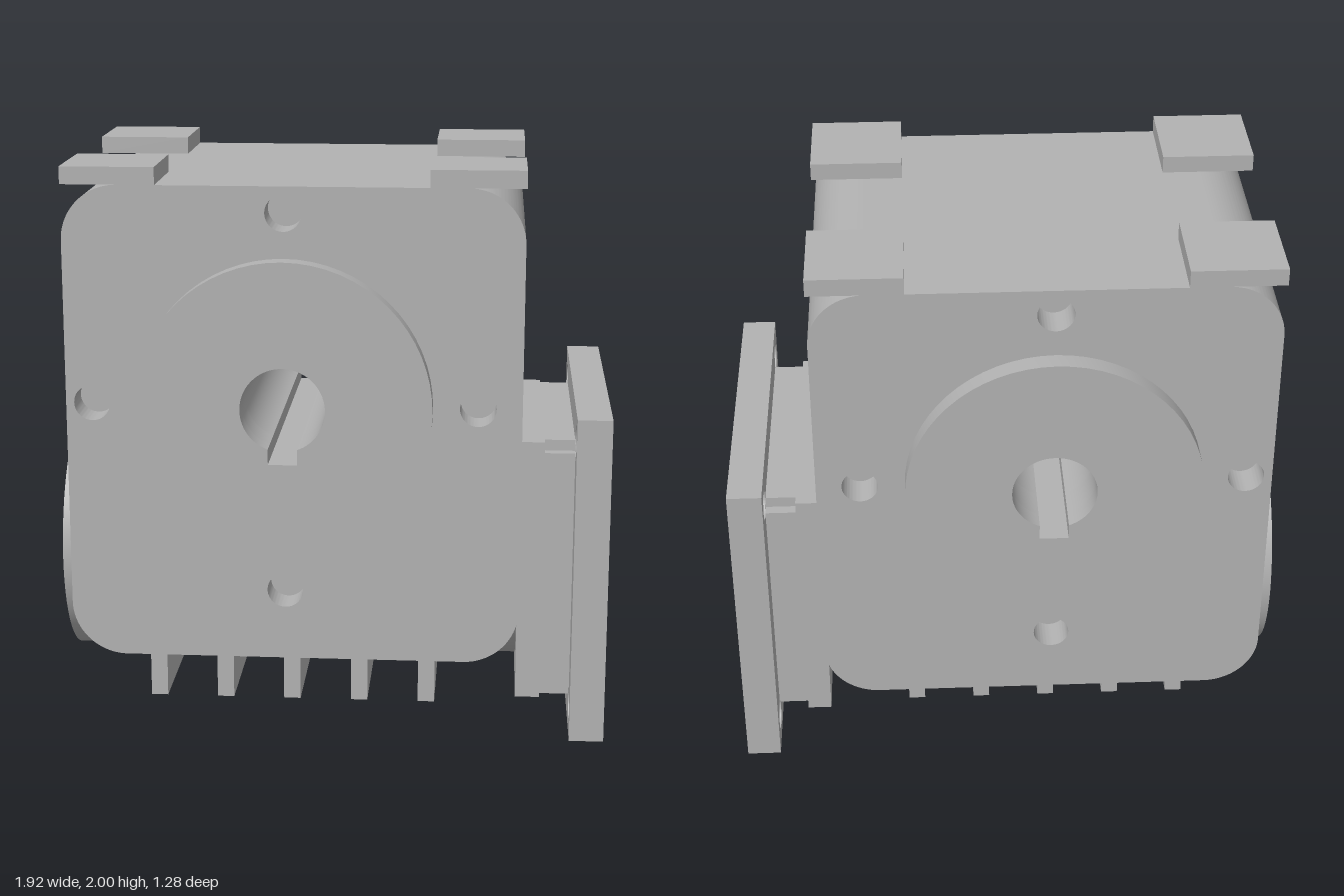
import * as THREE from 'three';
import { toCreasedNormals } from 'three/addons/utils/BufferGeometryUtils.js';

const CX = -0.155, CY = 1.19;              // output bore axis
const BODY = { x0: -0.905, x1: 0.655, y0: 0.28, y1: 1.94, z: 0.57, r: 0.19 };
const POCKET = 0.12;                       // depth of the bolt holes

const circle = (x, y, r, Type = THREE.Path) => new Type().absarc(x, y, r, 0, Math.PI * 2, false);

// round bore with a keyway at the bottom
function boreHole() {
  const r = 0.145, w = 0.05, a = Math.acos(w / r), p = new THREE.Path();
  p.moveTo(CX + w, CY - 0.19);
  p.lineTo(CX + w, CY - Math.sin(a) * r);
  p.absarc(CX, CY, r, -a, Math.PI + a, false);
  p.lineTo(CX - w, CY - 0.19);
  p.closePath();
  return p;
}

function roundedShape({ x0, x1, y0, y1, r }) {
  const s = new THREE.Shape(), h = Math.PI / 2;
  s.absarc(x1 - r, y0 + r, r, -h, 0, false);
  s.absarc(x1 - r, y1 - r, r, 0, h, false);
  s.absarc(x0 + r, y1 - r, r, h, 2 * h, false);
  s.absarc(x0 + r, y0 + r, r, 2 * h, 3 * h, false);
  s.closePath();
  return s;
}

function rectShape(w, y0, y1) {
  return new THREE.Shape([[-w, y0], [w, y0], [w, y1], [-w, y1]].map(p => new THREE.Vector2(...p)));
}

export function createModel() {
  const group = new THREE.Group();
  const metal = new THREE.MeshStandardMaterial({ color: 0xb2b2b2 });
  metal.name = 'grey metal';

  const add = (name, geo) => {
    const mesh = new THREE.Mesh(geo, metal);
    mesh.name = name;
    group.add(mesh);
    return mesh;
  };
  const box = (name, x0, x1, y0, y1, z0, z1) =>
    add(name, new THREE.BoxGeometry(x1 - x0, y1 - y0, z1 - z0))
      .position.set((x0 + x1) / 2, (y0 + y1) / 2, (z0 + z1) / 2);
  const extrude = (shape, depth) => toCreasedNormals(
    new THREE.ExtrudeGeometry(shape, { depth, bevelEnabled: false, curveSegments: 32 }), 0.6);
  const alongZ = (name, shape, z0, z1) => add(name, extrude(shape, z1 - z0).translate(0, 0, z0));
  const alongX = (name, shape, x0, x1) =>
    add(name, extrude(shape, x1 - x0).rotateY(Math.PI / 2).translate(x0, 0, 0));

  // housing core, pierced by the bore
  const core = roundedShape(BODY);
  core.holes.push(boreHole());
  alongZ('housingCore', core, -BODY.z + POCKET, BODY.z - POCKET);

  // face plates with blind bolt holes, and round bosses, front and back
  const face = roundedShape(BODY);
  face.holes.push(boreHole());
  for (let i = 0; i < 4; i++) {
    const a = i * Math.PI / 2;
    face.holes.push(circle(CX + Math.cos(a) * 0.66, CY + Math.sin(a) * 0.66, 0.062));
  }
  const boss = circle(CX, CY, 0.507, THREE.Shape);
  boss.holes.push(boreHole());
  alongZ('frontFace', face, BODY.z - POCKET, BODY.z);
  alongZ('backFace', face, -BODY.z, -BODY.z + POCKET);
  alongZ('frontBoss', boss, BODY.z, 0.64);
  alongZ('backBoss', boss, -0.64, -BODY.z);

  // mounting pads on the top corners
  for (const [x0, x1] of [[-0.905, -0.585], [0.335, 0.655]]) {
    box('mountingPad', x0, x1, 1.94, 2, 0.24, 0.57);
    box('mountingPad', x0, x1, 1.94, 2, -0.57, -0.24);
  }

  // input shaft tube: lower half under the housing, full end cap at the side
  const half = new THREE.Shape().absarc(0, 0.585, 0.445, Math.PI, Math.PI * 2, false);
  half.closePath();
  alongX('shaftTube', half, -0.9, 0.655);
  alongX('shaftEndCap', circle(0, 0.585, 0.445, THREE.Shape), -0.96, -0.89);

  // cooling fins
  for (let i = -2; i <= 2; i++) {
    const x = CX + i * 0.243;
    box('coolingFin', x - 0.03, x + 0.03, 0.035, 0.3, -0.335, 0.335);
  }

  // motor adapter, its front part with notched corners
  box('adapterBase', 0.65, 0.735, 0.115, 1.05, -0.465, 0.465);
  const w = 0.465, n = 0.427, y0 = 0.115, y1 = 1.05, d = 0.038;
  const notched = new THREE.Shape([
    [-n, y0], [n, y0], [n, y0 + d], [w, y0 + d], [w, y1 - d], [n, y1 - d],
    [n, y1], [-n, y1], [-n, y1 - d], [-w, y1 - d], [-w, y0 + d], [-n, y0 + d],
  ].map(p => new THREE.Vector2(...p)));
  alongX('adapterNeck', notched, 0.735, 0.84);

  // square motor flange with four through holes
  const flange = rectShape(0.58, 0, 1.16);
  for (const z of [-0.48, 0.48]) for (const y of [0.102, 1.06]) flange.holes.push(circle(z, y, 0.054));
  alongX('motorFlange', flange, 0.84, 0.96);

  return group;
}
